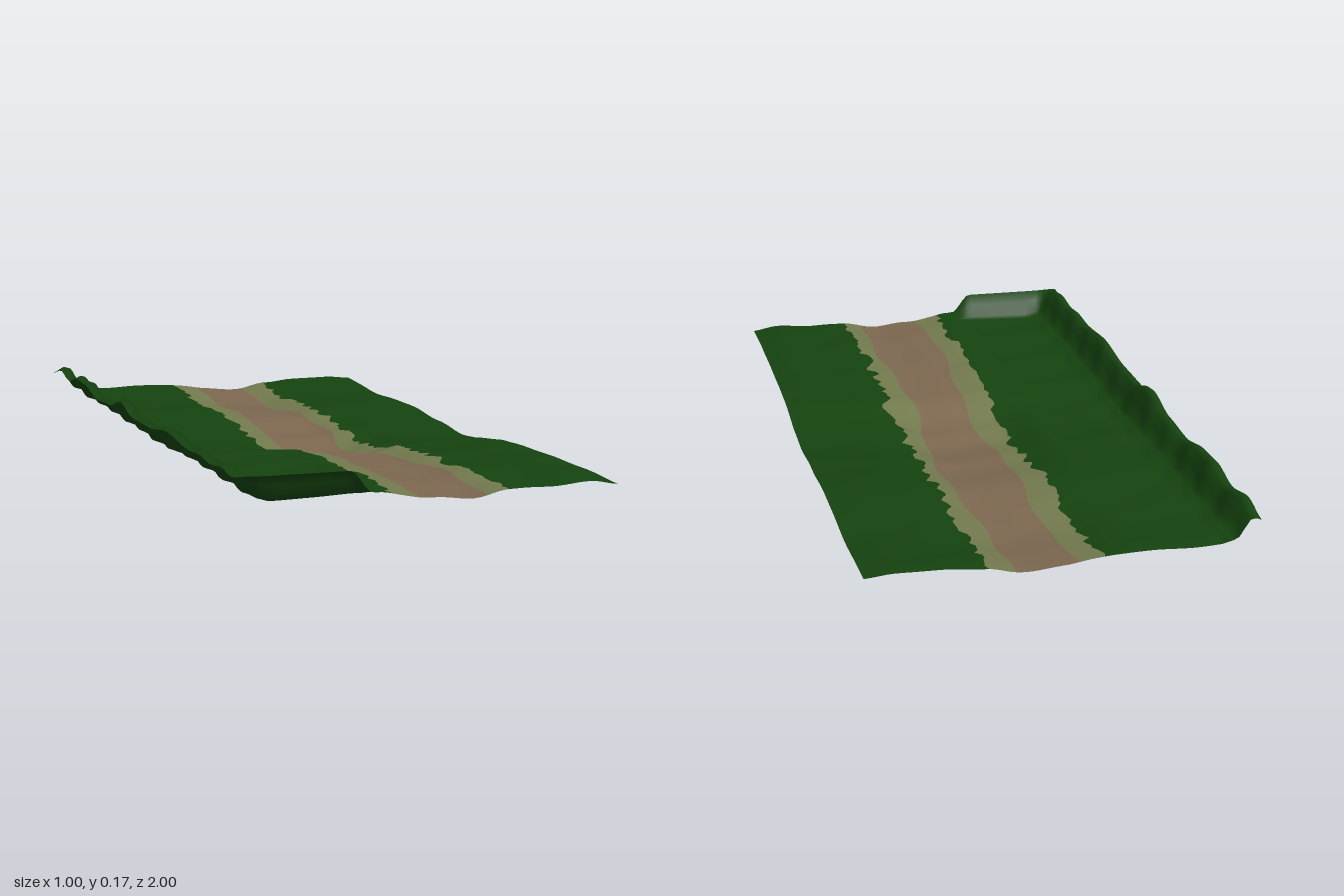
import * as THREE from 'three';

// Smooth interpolation through [position, value] pairs
function curve(points) {
  return (t) => {
    let i = 0;
    while (i < points.length - 2 && t > points[i + 1][0]) i++;
    const [a, va] = points[i], [b, vb] = points[i + 1];
    return va + (vb - va) * THREE.MathUtils.smoothstep(t, a, b);
  };
}

// Cross-sections of the land at its lowest and at its highest
const lowSection = curve([[-0.5, 0.068], [-0.4, 0.061], [-0.2, 0.047], [-0.08, 0.011], [0.02, 0.005],
  [0.12, 0.002], [0.2, 0.023], [0.29, 0.042], [0.38, 0.036], [0.5, 0.034]]);
const highSection = curve([[-0.5, 0.08], [-0.35, 0.074], [-0.2, 0.08], [-0.11, 0.09], [0, 0.075],
  [0.1, 0.064], [0.2, 0.08], [0.3, 0.08], [0.42, 0.088], [0.5, 0.077]]);
// How high the land lies along its length, 0 = low, 1 = high
const rise = curve([[-1, 0.68], [-0.75, 0.4], [-0.45, 0.55], [-0.2, 0.25], [-0.02, 0],
  [0.1, 0.15], [0.3, 0.75], [0.5, 0.9], [0.8, 1], [1, 0.92]]);
// Steep bank along the right-hand border
const bankTop = curve([[-1, 0.135], [-0.9, 0.16], [-0.78, 0.14], [-0.66, 0.164], [-0.55, 0.16], [-0.4, 0.136],
  [-0.25, 0.145], [-0.1, 0.176], [0.02, 0.15], [0.2, 0.151], [0.4, 0.171], [0.6, 0.157],
  [0.7, 0.163], [0.8, 0.155], [0.9, 0.165], [1, 0.152]]);
const bankShape = curve([[-0.5, 0.88], [-0.48, 1], [-0.435, 0.1], [-0.4, 0]]);
// Stretch of the front border that curls upward
const curlShape = curve([[-0.5, 1], [-0.21, 1], [-0.15, 0.12], [-0.08, 0]]);

function height(x, z) {
  let y = THREE.MathUtils.lerp(lowSection(x), highSection(x), rise(z));
  y += 0.002 * (1 + Math.sin(23 * x + 9 * z) * Math.sin(17 * z - 11 * x)); // gentle bumps
  const bank = x < -0.4 ? bankShape(x + 0.008 * Math.sin(38 * z) * (x + 0.5) / 0.1) : 0;
  y = THREE.MathUtils.lerp(y, bankTop(z), bank);
  const curl = curlShape(x) * THREE.MathUtils.smoothstep(z, 0.95, 1.005);
  return THREE.MathUtils.lerp(y, Math.max(y, 0.15), curl);
}

function normal(x, z) {
  const e = 0.008;
  return new THREE.Vector3(height(x - e, z) - height(x + e, z), 2 * e,
    height(x, z - e) - height(x, z + e)).normalize();
}

function hash(n) {
  const s = Math.sin(n * 127.1 + 11.7) * 43758.5453;
  return s - Math.floor(s);
}

const ROWS = 100;
const rowZ = (r) => -1 + (2 * r) / ROWS;

// Borders between the ground covers: ragged at the grass, wavy at the track
const ragged = (x, seed, amount) => (r) => x + amount * (hash(Math.floor(r / 2) + seed) - 0.5)
  + amount * 0.5 * (hash(r + seed * 3) - 0.5);
const borders = [
  () => -0.5,
  ragged(-0.098, 5, 0.024),
  (r) => -0.032 + 0.01 * Math.sin(rowZ(r) * 7) + 0.005 * Math.sin(rowZ(r) * 19),
  (r) => 0.138 + 0.016 * Math.sin(rowZ(r) * 6 + 3.4) + 0.007 * Math.sin(rowZ(r) * 21),
  (r) => ragged(0.195, 41, 0.03)(r) + 0.03 * Math.exp(-(((rowZ(r) - 0.22) / 0.035) ** 2)),
  () => 0.495,
];

// One lengthwise strip of ground between two borders
function strip(name, left, right, columns, color) {
  const positions = [], normals = [], index = [];
  for (let r = 0; r <= ROWS; r++) {
    for (let c = 0; c <= columns; c++) {
      const z = rowZ(r), x = THREE.MathUtils.lerp(left(r), right(r), c / columns);
      positions.push(x, height(x, z), z);
      normals.push(...normal(x, z).toArray());
      if (r < ROWS && c < columns) {
        const a = r * (columns + 1) + c, b = a + columns + 1;
        index.push(a, b, a + 1, b, b + 1, a + 1);
      }
    }
  }
  const geometry = new THREE.BufferGeometry();
  geometry.setAttribute('position', new THREE.Float32BufferAttribute(positions, 3));
  geometry.setAttribute('normal', new THREE.Float32BufferAttribute(normals, 3));
  geometry.setIndex(index);
  const mesh = new THREE.Mesh(geometry, new THREE.MeshStandardMaterial({ color, side: THREE.DoubleSide }));
  mesh.name = name;
  return mesh;
}

export function createModel() {
  const group = new THREE.Group();
  group.name = 'terrainWithTrack';
  const grass = 0x15430f, verge = 0x737a4e, earth = 0x7d6850;
  [
    ['rightGrass', 28, grass],
    ['rightVerge', 5, verge],
    ['dirtTrack', 10, earth],
    ['leftVerge', 5, verge],
    ['leftGrass', 16, grass],
  ].forEach(([name, columns, color], i) => {
    group.add(strip(name, borders[i], borders[i + 1], columns, color));
  });
  return group;
}
